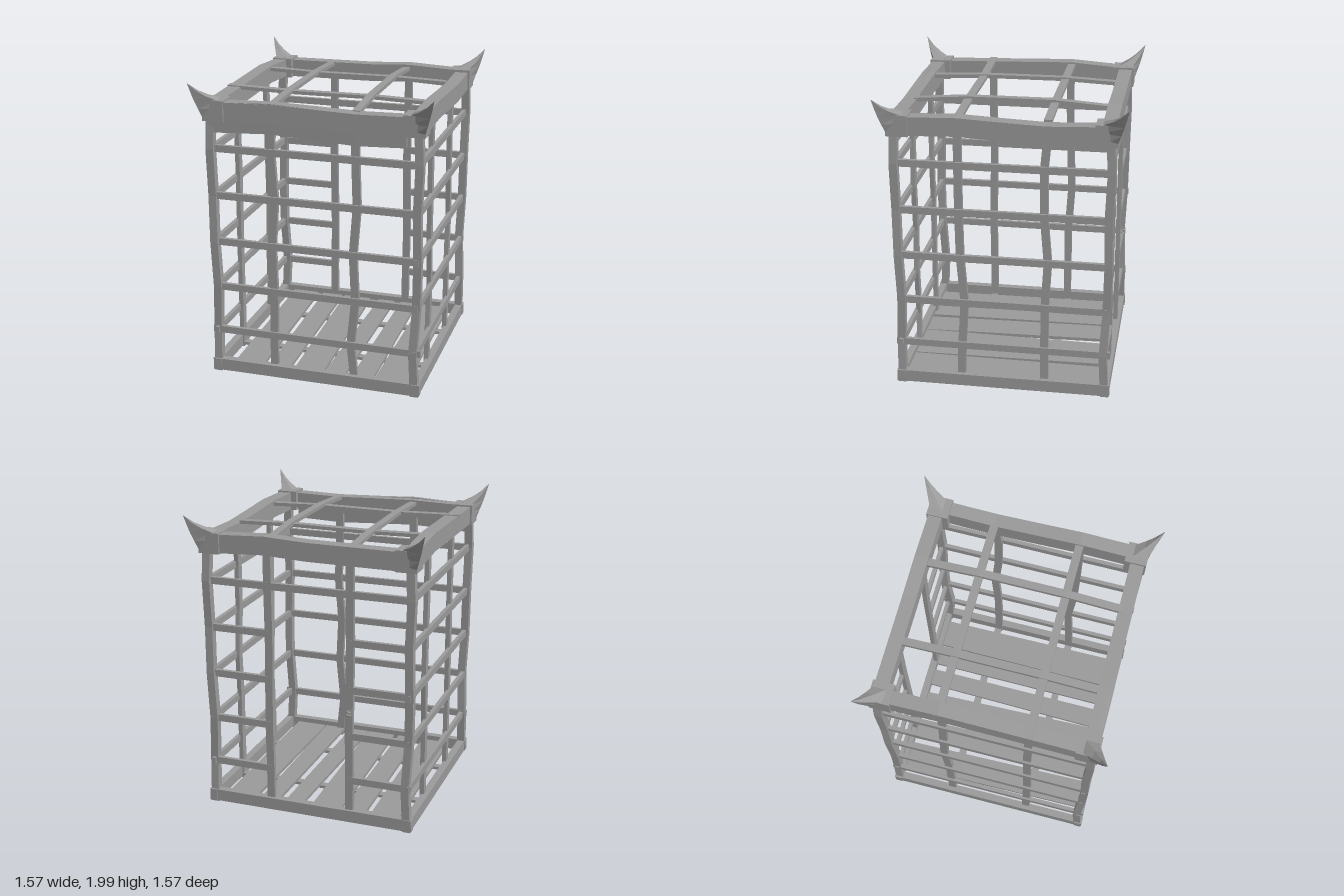
import * as THREE from 'three';

const AXES = ['x', 'y', 'z'];

// Closes a run of four-cornered cross-sections into a flat-shaded solid
function loft(rings) {
  const pos = [];
  const quad = (a, b, c, d) => [a, b, c, a, c, d].forEach((p) => pos.push(p.x, p.y, p.z));
  for (let i = 0; i < rings.length - 1; i++) {
    for (let j = 0; j < 4; j++) {
      const k = (j + 1) % 4;
      quad(rings[i][j], rings[i][k], rings[i + 1][k], rings[i + 1][j]);
    }
  }
  const [s, e] = [rings[0], rings[rings.length - 1]];
  quad(s[3], s[2], s[1], s[0]);
  quad(e[0], e[1], e[2], e[3]);
  const g = new THREE.BufferGeometry();
  g.setAttribute('position', new THREE.Float32BufferAttribute(pos, 3));
  g.computeVertexNormals();
  return g;
}

// Rectangular section around a centre, square to the given axis
function ring(center, axis, size) {
  const i = AXES.indexOf(axis);
  const u = (i + 1) % 3, v = (i + 2) % 3;
  return [[-1, -1], [1, -1], [1, 1], [-1, 1]].map(([a, b]) => {
    const p = new THREE.Vector3(...center);
    p.setComponent(u, p.getComponent(u) + (a * size[u]) / 2);
    p.setComponent(v, p.getComponent(v) + (b * size[v]) / 2);
    return p;
  });
}

// Kite section of a corner horn, pointing out along the diagonal
function hornRing([y, inner, outer]) {
  const side = 0.785 - (0.785 - inner) * 0.48;
  return [[inner, inner], [inner, side], [outer, outer], [side, inner]]
    .map(([x, z]) => new THREE.Vector3(x, y, z));
}

export function createModel() {
  const root = new THREE.Group();
  const mat = new THREE.MeshStandardMaterial({ color: 0x9b9b9b, flatShading: true });
  const add = (name, geo) => {
    const m = new THREE.Mesh(geo, mat);
    m.name = name;
    root.add(m);
    return m;
  };
  // Crooked timber through points that advance along an axis
  const timber = (name, axis, size, pts) => add(name, loft(pts.map((p) => ring(p, axis, size))));
  const box = (name, size, at) => add(name, new THREE.BoxGeometry(...size)).position.set(...at);

  const levels = [0.31, 0.62, 0.935, 1.25, 1.565];
  const heights = [0.012, ...levels, 1.78];

  // Crooked corner posts
  const postBend = [0, 0.002, -0.012, 0, 0.004, 0.008, 0.002];
  const postBend2 = [0, -0.016, 0, 0.006, -0.002, 0.01, -0.002];
  for (const sx of [-1, 1]) for (const sz of [-1, 1]) {
    const [bx, bz] = sx * sz < 0 ? [postBend, postBend2] : [postBend2, postBend];
    timber('cornerPost', 'y', [0.052, 0, 0.052],
      heights.map((y, i) => [sx * (0.676 + bx[i]), y, sz * (0.676 + bz[i])]));
  }

  // Bottom frame
  for (const s of [-1, 1]) {
    box('baseBeam', [1.42, 0.08, 0.05], [0, 0.06, s * 0.68]);
    box('baseBeam', [0.05, 0.08, 1.42], [s * 0.68, 0.06, 0]);
  }

  // Horizontal bars; the back keeps a doorway open between its uprights
  levels.forEach((y, i) => {
    const h = 0.046;
    const length = i % 2 ? 1.39 : 1.415;
    box('frontBar', [length, h, 0.026], [0, y, 0.674]);
    for (const s of [-1, 1]) {
      box('sideBar', [0.026, h, length], [s * 0.676, y, 0]);
      if (i < 4) box('backBar', [0.43, h, 0.026], [s * 0.48, y, -0.674]);
    }
    if (i === 4) box('backBar', [length, h, 0.026], [0, y, -0.674]);
  });

  // Crooked uprights, two on each face
  const straight = [0, 0, 0.004, 0, -0.004, 0, 0];
  const upright = (name, along, c, depth, bend) => timber(name, 'y',
    along === 'x' ? [0.052, 0, 0.03] : [0.03, 0, 0.052],
    heights.map((y, i) => (along === 'x' ? [c + bend[i], y, depth] : [depth, y, c + bend[i]])));
  upright('frontUpright', 'x', -0.28, 0.658, [-0.005, -0.005, 0, -0.008, 0.012, -0.008, 0]);
  upright('frontUpright', 'x', 0.27, 0.658, [0, -0.03, 0, -0.015, 0.01, 0, 0]);
  upright('doorUpright', 'x', -0.28, -0.67, straight);
  upright('doorUpright', 'x', 0.27, -0.67, straight);
  upright('rightUpright', 'z', 0.28, 0.66, [0, -0.01, -0.03, -0.005, 0, 0, 0]);
  upright('rightUpright', 'z', -0.275, 0.66, [0, 0, 0, -0.018, 0.008, 0.01, -0.01]);
  upright('leftUpright', 'z', 0.28, -0.66, straight);
  upright('leftUpright', 'z', -0.275, -0.66, [0, 0, 0, -0.02, -0.01, 0, 0]);

  // Pair of small latch rings on the door upright
  for (const y of [0.775, 0.797]) {
    const latch = add('latchRing', new THREE.TorusGeometry(0.014, 0.004, 6, 12));
    latch.rotation.x = Math.PI / 2;
    latch.position.set(-0.285, y, -0.702);
  }

  // Floor planks: left and right edges at the back, then at the front
  const planks = [
    [-0.60, -0.41, -0.58, -0.38], [-0.37, -0.22, -0.34, -0.195], [-0.20, 0.0, -0.16, 0.04],
    [0.07, 0.19, 0.045, 0.185], [0.24, 0.36, 0.235, 0.38], [0.40, 0.60, 0.39, 0.61],
  ];
  planks.forEach(([a, b, c, d]) => add('floorPlank', loft([
    ring([(a + b) / 2, 0.055, -0.67], 'z', [b - a, 0.022, 0]),
    ring([(c + d) / 2, 0.055, 0.67], 'z', [d - c, 0.022, 0]),
  ])));
  for (const s of [-1, 1]) box('floorJoist', [1.35, 0.02, 0.05], [0, 0.036, s * 0.28]);

  // Wavy roof frame
  const span = [-0.66, -0.28, 0, 0.28, 0.66];
  const wave = { front: [0, 0.01, 0.002, -0.008, 0], back: [0, 0.002, 0.004, 0.018, 0],
    right: [0, -0.014, -0.002, 0.012, 0], left: [0, 0.026, 0.018, 0.01, 0] };
  const roofY = 1.812;
  for (const [name, s] of [['front', 1], ['back', -1]]) {
    timber(name + 'RoofBeam', 'x', [0, 0.12, 0.09],
      span.map((x, i) => [x, roofY + wave[name][i], s * 0.663]));
  }
  for (const [name, s] of [['right', 1], ['left', -1]]) {
    timber(name + 'RoofBeam', 'z', [0.09, 0.12, 0],
      span.map((z, i) => [s * 0.663, roofY + wave[name][i], z]));
  }
  // Deep fascia board on the front
  timber('frontFascia', 'x', [0, 0.195, 0.03],
    [[-0.7, 1.77, 0.688], [-0.28, 1.79, 0.69], [0.28, 1.762, 0.692], [0.6, 1.773, 0.688]]);

  // Crossing roof bars
  for (const s of [-1, 1]) {
    timber('roofCrossBar', 'x', [0, 0.022, 0.052],
      [[-0.71, 1.878, s * 0.285], [-0.28, 1.868, s * 0.28], [0.28, 1.872, s * 0.28], [0.62, 1.862, s * 0.28]]);
  }
  for (const [x, lift] of [[-0.288, 0], [0.265, 0.01]]) {
    timber('roofLongBar', 'z', [0.05, 0.024, 0],
      [[x, 1.86, -0.64], [x, 1.876 + lift, -0.28], [x, 1.874 + lift, 0.28], [x, 1.858, 0.64]]);
  }

  // Corner caps with curved horns: [y, inner corner, outer corner]
  const horn = [[1.75, 0.62, 0.712], [1.83, 0.62, 0.738], [1.885, 0.625, 0.756],
    [1.915, 0.685, 0.764], [1.95, 0.735, 0.773], [2.0, 0.783, 0.785]];
  for (let i = 0; i < 4; i++) {
    const corner = new THREE.Group();
    corner.name = 'cornerCap';
    const sleeve = new THREE.Mesh(new THREE.BoxGeometry(0.14, 0.135, 0.14), mat);
    sleeve.name = 'capSleeve';
    sleeve.position.set(0.65, 1.817, 0.65);
    const tip = new THREE.Mesh(loft(horn.map(hornRing)), mat);
    tip.name = 'capHorn';
    corner.add(sleeve, tip);
    corner.rotation.y = (i * Math.PI) / 2;
    root.add(corner);
  }
  return root;
}
